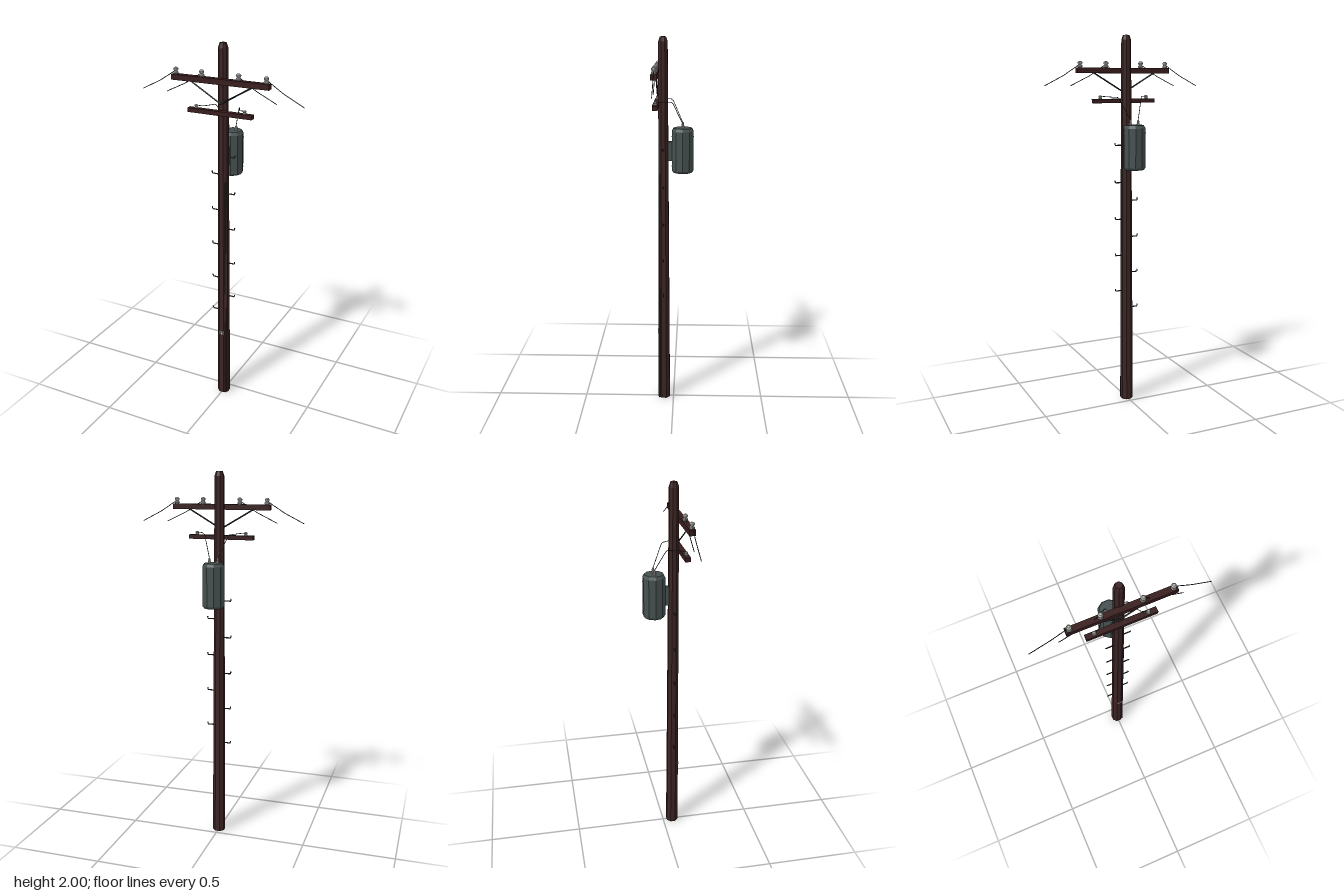
import * as THREE from 'three';

const mat = (name, color) => Object.assign(new THREE.MeshStandardMaterial({ color, flatShading: true }), { name });

export function createModel() {
  const wood = mat('dark wood', 0x3b2423);
  const armWood = mat('crossarm wood', 0x381c1d);
  const steel = mat('tank grey', 0x465050);
  const iron = mat('dark iron', 0x2b3234);
  const wireMat = mat('wire', 0x22292a);
  const porcelain = mat('porcelain', 0xb2b3ae);

  const model = new THREE.Group();
  model.name = 'utilityPole';
  const PZ = 0.053; // pole axis
  const ARM_Z = 0.088;

  const add = (name, geo, material, x = 0, y = 0, z = 0) => {
    const m = new THREE.Mesh(geo, material);
    m.name = name;
    m.position.set(x, y, z);
    model.add(m);
    return m;
  };
  const box = (name, w, h, d, material, x, y, z) => add(name, new THREE.BoxGeometry(w, h, d), material, x, y, z);
  const lathe = (pts, sides) => new THREE.LatheGeometry(pts.map(p => new THREE.Vector2(...p)), sides);
  // Straight-sided rod running through a list of points
  const rod = (name, pts, r, material, sides = 5) => {
    const path = new THREE.CurvePath();
    const v = pts.map(p => new THREE.Vector3(...p));
    for (let i = 1; i < v.length; i++) path.add(new THREE.LineCurve3(v[i - 1], v[i]));
    return add(name, new THREE.TubeGeometry(path, (v.length - 1) * 6, r, sides), material);
  };

  // Tapered eight-sided pole with a bevelled top
  const pole = lathe([[0, 0], [0.035, 0], [0.0255, 1.975], [0.017, 2], [0, 2]], 8);
  pole.rotateY(Math.PI / 8);
  add('pole', pole, wood, 0, 0, PZ);

  // Crossarms
  box('upperCrossarm', 0.528, 0.028, 0.031, armWood, 0, 1.819, ARM_Z);
  box('lowerCrossarm', 0.352, 0.022, 0.028, armWood, 0, 1.662, ARM_Z);

  // Insulator: skirt, neck and round head
  const insulator = lathe([[0, 0], [0.009, 0], [0.0135, 0.006], [0.0125, 0.012], [0.008, 0.016],
    [0.0125, 0.022], [0.0125, 0.028], [0.007, 0.034], [0, 0.035]], 10);
  const smallInsulator = insulator.clone().scale(0.75, 0.55, 0.75);
  const bushing = lathe([[0, 0], [0.008, 0], [0.008, 0.008], [0.005, 0.01], [0.007, 0.016], [0.004, 0.026], [0, 0.027]], 8);

  // Transformer tank with rims
  const TZ = -0.048;
  const tank = lathe([[0, 1.308], [0.05, 1.308], [0.059, 1.32], [0.059, 1.525], [0.05, 1.541], [0, 1.543]], 10);
  tank.rotateY(Math.PI / 10 * 5);
  add('transformerTank', tank, steel, 0, 0, TZ);
  for (const y of [1.345, 1.5]) {
    const rim = new THREE.CylinderGeometry(0.0605, 0.0605, 0.006, 10, 1, true);
    rim.rotateY(Math.PI / 2);
    add('tankRim', rim, steel, 0, y, TZ);
  }
  box('transformerBracket', 0.024, 0.1, 0.035, steel, 0, 1.42, 0.016);

  for (const s of [-1, 1]) {
    // Line insulators and the wires leaving them
    for (const [x, mid, end] of [[0.245, 0.335, 0.44], [0.1, 0.19, 0.3]]) {
      add('lineInsulator', insulator, porcelain, s * x, 1.832, ARM_Z);
      rod('lineWire', [[s * x, 1.851, ARM_Z], [s * mid, 1.793, ARM_Z], [s * end, 1.74, ARM_Z]], 0.002, wireMat);
    }
    add('lowerInsulator', smallInsulator, porcelain, s * 0.133, 1.672, ARM_Z);

    // Diagonal crossarm brace
    rod('crossarmBrace', [[s * 0.175, 1.808, 0.079], [0, 1.706, 0.081]], 0.004, iron, 4);

    // Transformer bushings and leads
    add('bushing', bushing, porcelain, s * 0.022, 1.541, TZ);
    rod('transformerLead', [[s * 0.133, 1.687, ARM_Z], [s * 0.1, 1.684, 0.076], [s * 0.065, 1.681, 0.005],
      [s * 0.022, 1.566, TZ]], 0.0018, wireMat);

    // Climbing steps, staggered from side to side, with upturned tips
    for (let i = 0; i < 5; i++) {
      const y = (s > 0 ? 0.63 : 0.53) + i * 0.2;
      rod('climbingStep', [[s * 0.02, y, PZ], [s * 0.064, y, PZ], [s * 0.066, y + 0.014, PZ]], 0.0034, iron);
    }
  }

  // Ground wire following the taper
  rod('groundWire', [[0.024, 0, PZ + 0.025], [0.0195, 1.3, PZ + 0.0205]], 0.004, iron, 6);

  // Small tag plates
  for (const y of [0.394, 0.406])
    for (const x of [-0.011, 0, 0.011])
      box('tagPlate', 0.008, 0.008, 0.004, porcelain, x, y, PZ + 0.031);

  return model;
}
